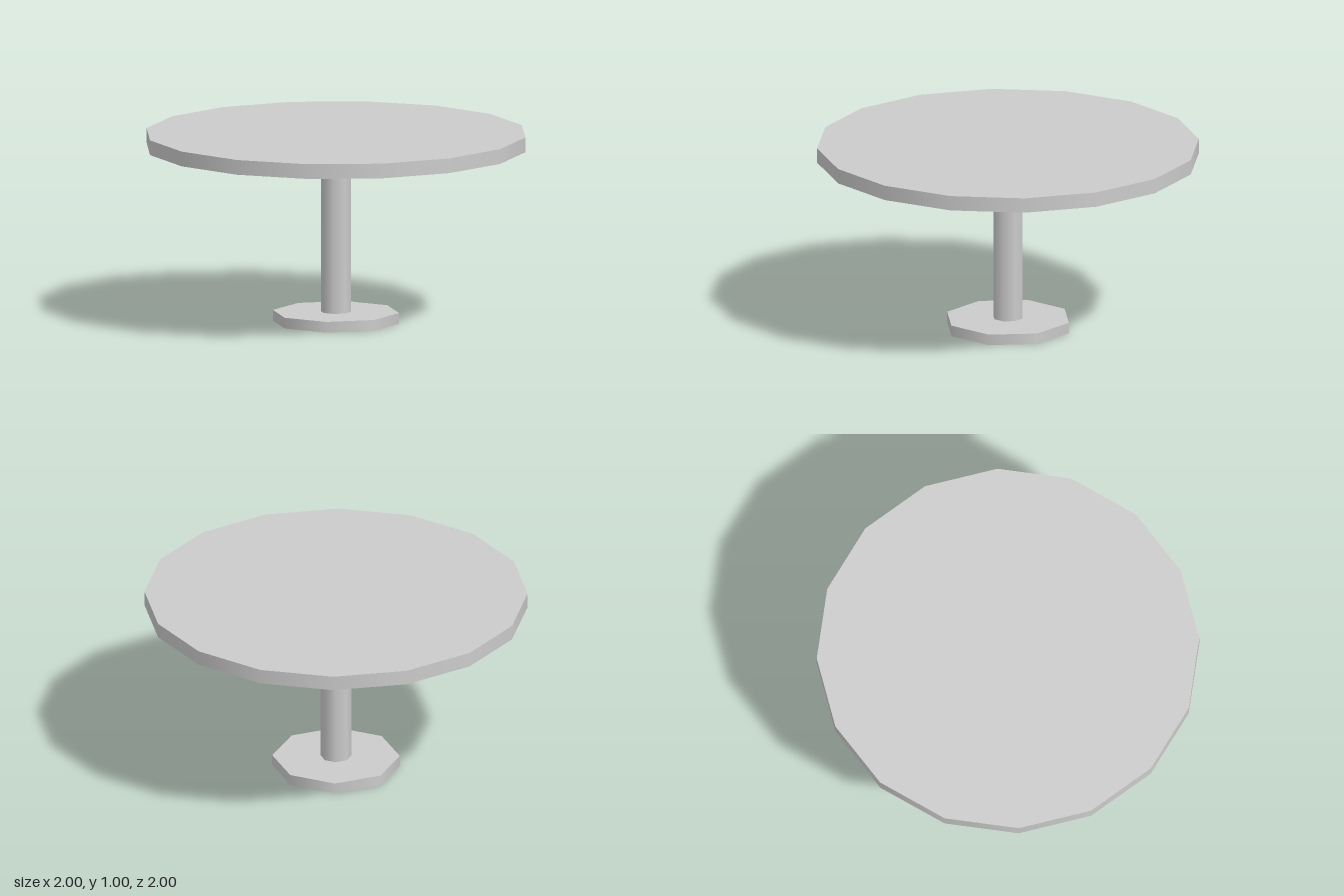
import * as THREE from 'three';

export function createModel() {
  const model = new THREE.Group();
  model.name = 'pedestalTable';
  const material = new THREE.MeshStandardMaterial({ color: 0xcccccc });

  // Upright disc or post spanning two heights
  function addRound(name, radius, sides, bottom, top) {
    const geometry = new THREE.CylinderGeometry(radius, radius, top - bottom, sides);
    const mesh = new THREE.Mesh(geometry, material);
    mesh.name = name;
    mesh.position.y = (bottom + top) / 2;
    model.add(mesh);
  }

  addRound('base', 0.333, 8, 0, 0.057);
  addRound('column', 0.08, 8, 0.057, 0.925);
  addRound('tableTop', 1, 16, 0.925, 1.003);

  return model;
}
